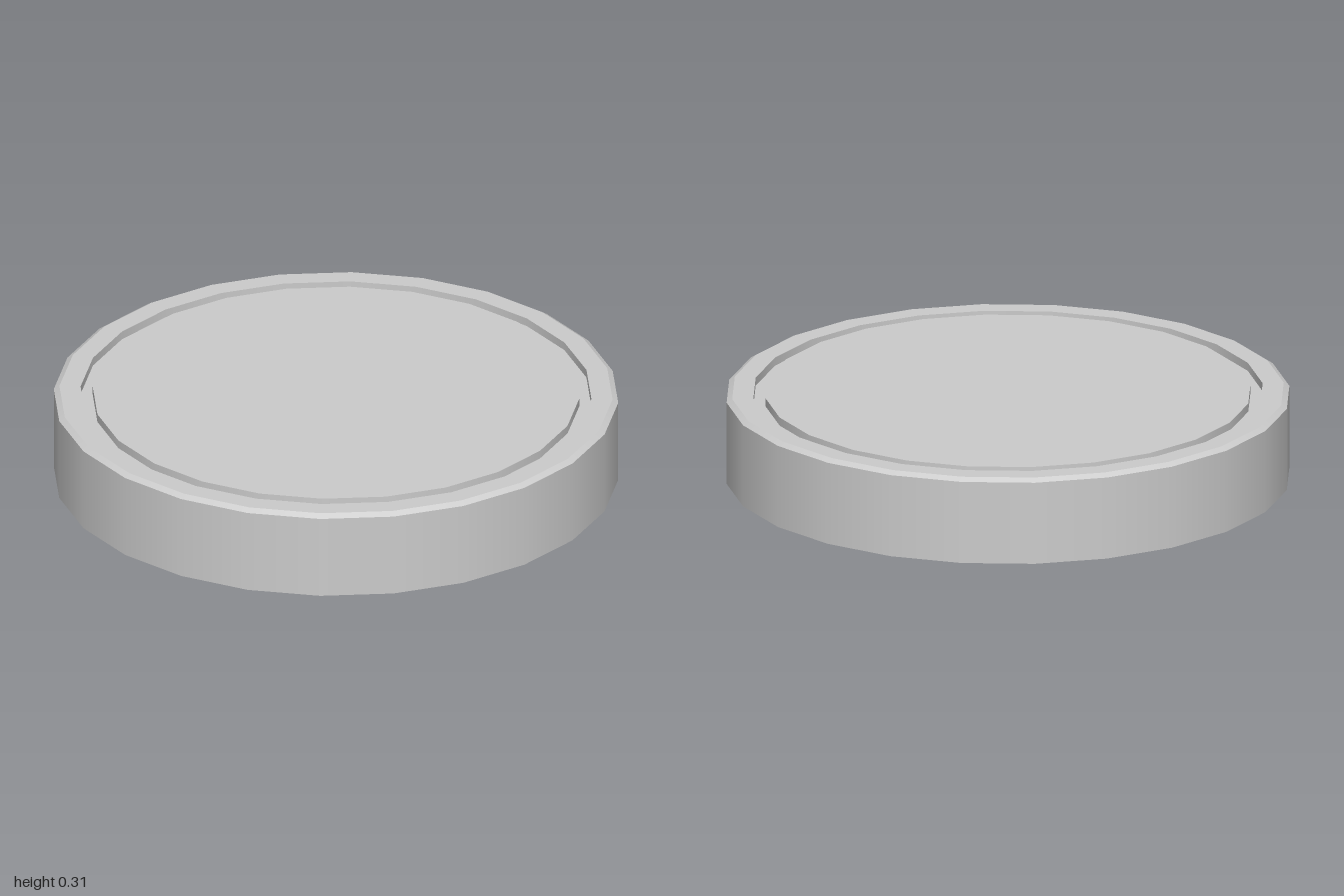
import * as THREE from 'three';
import { mergeGeometries } from 'three/addons/utils/BufferGeometryUtils.js';

const SIDES = 24;

// Revolve a profile with every profile corner sharp, smooth around the axis
function turned(profile) {
  const bands = [];
  for (let i = 0; i < profile.length - 1; i++) {
    const pair = [profile[i], profile[i + 1]].map(([r, y]) => new THREE.Vector2(r, y));
    bands.push(new THREE.LatheGeometry(pair, SIDES));
  }
  return mergeGeometries(bands);
}

export function createModel() {
  const model = new THREE.Group();
  model.name = 'roundDisc';
  const material = new THREE.MeshStandardMaterial({ color: 0xcccccc });

  const add = (name, profile) => {
    const mesh = new THREE.Mesh(turned(profile), material);
    mesh.name = name;
    model.add(mesh);
  };

  const top = 0.315, floor = 0.285;

  // Base, side wall, chamfer and flat rim
  add('body', [[0, 0], [1, 0], [1, 0.302], [0.98, top], [0.905, top]]);
  // Narrow ring-shaped channel
  add('groove', [[0.905, top], [0.905, floor], [0.862, floor], [0.862, top]]);
  // Flat centre plate level with the rim
  add('centrePlate', [[0.862, top], [0, top]]);

  return model;
}
